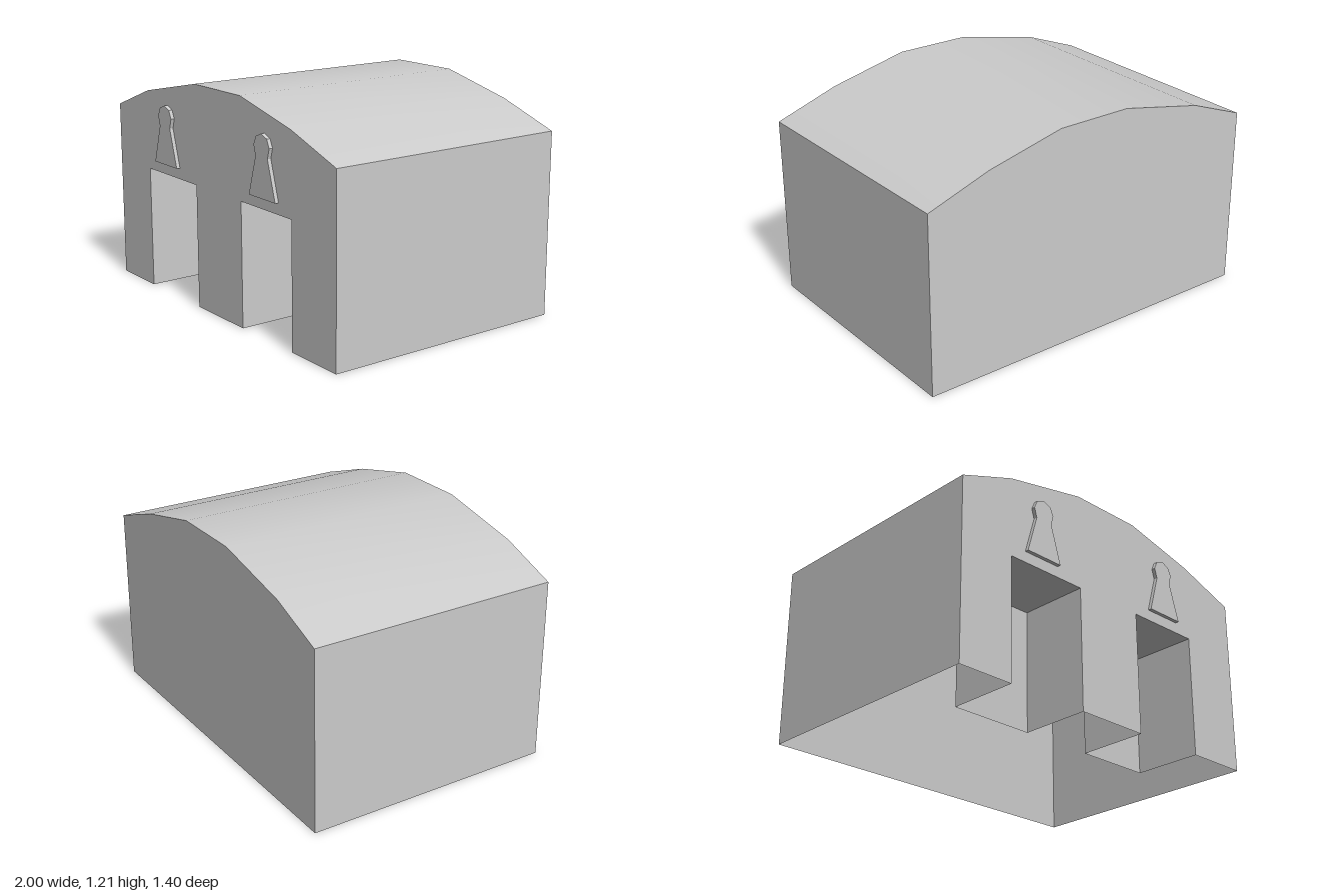
import * as THREE from 'three';

const FRONT = 0.68, BACK = -0.70, RECESS = 0.295, RELIEF = 0.70;

const material = new THREE.MeshStandardMaterial({ color: 0xcccccc, side: THREE.DoubleSide });

const vectors = (points) => points.map(([x, y]) => new THREE.Vector2(x, y));

// Flat panel in the xy plane, optionally pierced
function panel(name, points, z, holes = []) {
  const shape = new THREE.Shape(vectors(points));
  holes.forEach((h) => shape.holes.push(new THREE.Path(vectors(h))));
  const mesh = new THREE.Mesh(new THREE.ShapeGeometry(shape), material);
  mesh.name = name;
  mesh.position.z = z;
  return mesh;
}

// Sheet swept along z from a profile; its outer face is on the left of the path
function sheet(name, path, zFront, zBack, smooth = false) {
  const pos = [], index = [];
  path.forEach(([x, y]) => pos.push(x, y, zFront, x, y, zBack));
  for (let i = 0; i < path.length - 1; i++) {
    const a = i * 2;
    index.push(a, a + 2, a + 3, a, a + 3, a + 1);
  }
  let geometry = new THREE.BufferGeometry();
  geometry.setAttribute('position', new THREE.Float32BufferAttribute(pos, 3));
  geometry.setIndex(index);
  if (!smooth) geometry = geometry.toNonIndexed();
  geometry.computeVertexNormals();
  const mesh = new THREE.Mesh(geometry, material);
  mesh.name = name;
  return mesh;
}

// Keyhole outline, clockwise from the lower left
function keyhole(cx) {
  const half = [[-0.112, 0.73], [-0.051, 0.936], [-0.066, 0.99], [-0.046, 1.034]];
  const right = half.map(([x, y]) => [-x, y]).reverse();
  return [...half, [0, 1.053], ...right].map(([x, y]) => [x + cx, y]);
}

export function createModel() {
  const group = new THREE.Group();
  group.name = 'archedShelter';

  const roof = [[-1, 0.985], [-0.68, 1.105], [-0.2, 1.205], [0.22, 1.205], [0.65, 1.105], [1, 0.985]];
  const doors = [
    { left: -0.68, right: -0.2, key: -0.475 },
    { left: 0.22, right: 0.65, key: 0.433 },
  ];
  const doorTop = 0.67;

  // Shell, open underneath
  group.add(sheet('roof', roof, FRONT, BACK, true));
  group.add(sheet('rightWall', [[-1, 0], [-1, 0.985]], FRONT, BACK));
  group.add(sheet('leftWall', [[1, 0.985], [1, 0]], FRONT, BACK));

  const backWall = panel('backWall', [[-1, 0], ...roof, [1, 0]].map(([x, y]) => [-x, y]), BACK);
  backWall.rotation.y = Math.PI;
  group.add(backWall);

  // Front wall notched by the doorways and pierced behind the keyholes
  const notches = [...doors].reverse().flatMap(({ left, right }) =>
    [[right, 0], [right, doorTop], [left, doorTop], [left, 0]]);
  group.add(panel('frontWall', [[-1, 0], ...roof, [1, 0], ...notches], FRONT,
    doors.map((d) => keyhole(d.key))));

  for (const { left, right, key } of doors) {
    // Doorway recess with jambs, lintel and closed back
    const jambs = [[right, 0], [right, doorTop], [left, doorTop], [left, 0]];
    const doorway = new THREE.Group();
    doorway.name = 'doorway';
    doorway.add(sheet('doorFrame', jambs, FRONT, RECESS));
    doorway.add(panel('doorPanel', jambs, RECESS));

    // Raised keyhole ornament above the doorway
    const outline = keyhole(key);
    const ornament = new THREE.Group();
    ornament.name = 'keyholeOrnament';
    ornament.add(panel('keyholeFace', outline, RELIEF));
    ornament.add(sheet('keyholeRim', [...outline, outline[0]], RELIEF, FRONT));
    group.add(doorway, ornament);
  }
  return group;
}
